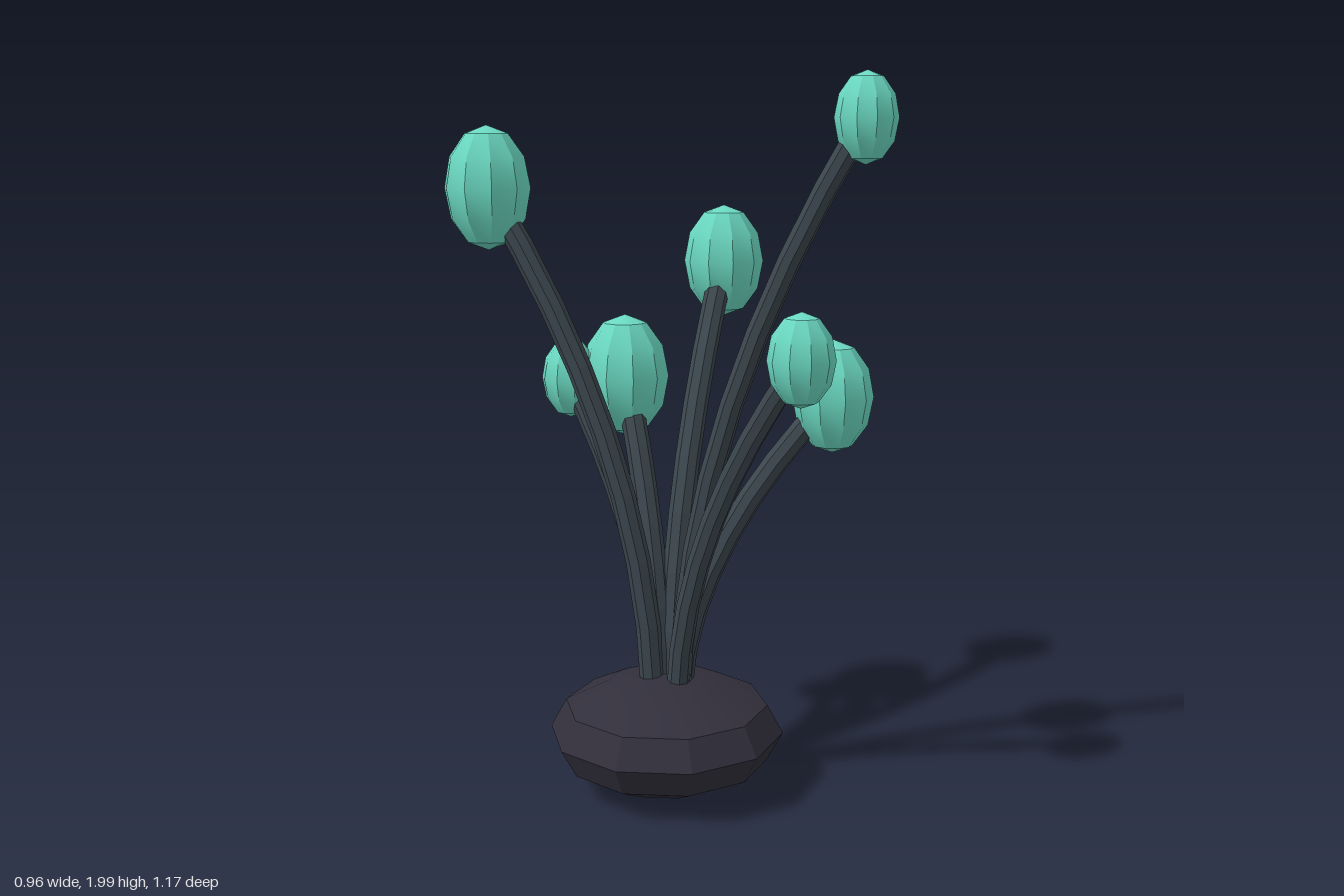
import * as THREE from 'three';
import { toCreasedNormals } from 'three/addons/utils/BufferGeometryUtils.js';

const BASE = new THREE.Vector3(-0.165, 0.17, 0.022);

// bulb centre x, y, z, bulb radius, bulb half height, stem radius
const STALKS = [
  [-0.36, 1.69, -0.465, 0.122, 0.172, 0.035],
  [0.087, 1.88, 0.497, 0.084, 0.12, 0.032],
  [0.37, 1.457, -0.222, 0.12, 0.168, 0.036],
  [-0.02, 1.145, -0.267, 0.127, 0.178, 0.036],
  [-0.13, 1.27, 0.462, 0.09, 0.125, 0.032],
  [0.172, 1.125, 0.342, 0.113, 0.158, 0.034],
  [-0.137, 1.14, -0.377, 0.083, 0.116, 0.032],
];

// low-poly ellipsoid with a corner facing the front
function ellipsoid(radius, halfHeight) {
  const g = new THREE.SphereGeometry(1, 10, 6);
  g.rotateY(Math.PI / 2);
  g.scale(radius, halfHeight, radius);
  return toCreasedNormals(g, 0.5);
}

export function createModel() {
  const bulbColor = new THREE.MeshStandardMaterial({ color: 0x6bd9c2 });
  bulbColor.name = 'mint';
  const stemColor = new THREE.MeshStandardMaterial({ color: 0x3b464d });
  stemColor.name = 'slate';
  stemColor.flatShading = true;
  const baseColor = new THREE.MeshStandardMaterial({ color: 0x322f3c });
  baseColor.name = 'dark violet';

  const model = new THREE.Group();
  model.name = 'bulbPlant';
  const add = (parent, geometry, material, name) => {
    const mesh = new THREE.Mesh(geometry, material);
    mesh.name = name;
    parent.add(mesh);
    return mesh;
  };

  // flattened base
  add(model, ellipsoid(0.332, 0.162), baseColor, 'base').position.copy(BASE);

  // stalks: a stem that rises straight, then leans out to its bulb
  STALKS.forEach(([x, y, z, r, h, stemRadius], i) => {
    const stalk = new THREE.Group();
    stalk.name = `stalk${i + 1}`;
    const end = new THREE.Vector3(x, y, z);
    const out = new THREE.Vector3(x - BASE.x, 0, z - BASE.z).normalize();
    const start = BASE.clone().addScaledVector(out, 0.04).setY(0.28);
    const bend = start.clone().addScaledVector(out, 0.02).setY((start.y + y) / 2);
    const curve = new THREE.QuadraticBezierCurve3(start, bend, end);
    add(stalk, new THREE.TubeGeometry(curve, 8, stemRadius, 8), stemColor, 'stem');
    add(stalk, ellipsoid(r, h), bulbColor, 'bulb').position.copy(end);
    model.add(stalk);
  });
  return model;
}
